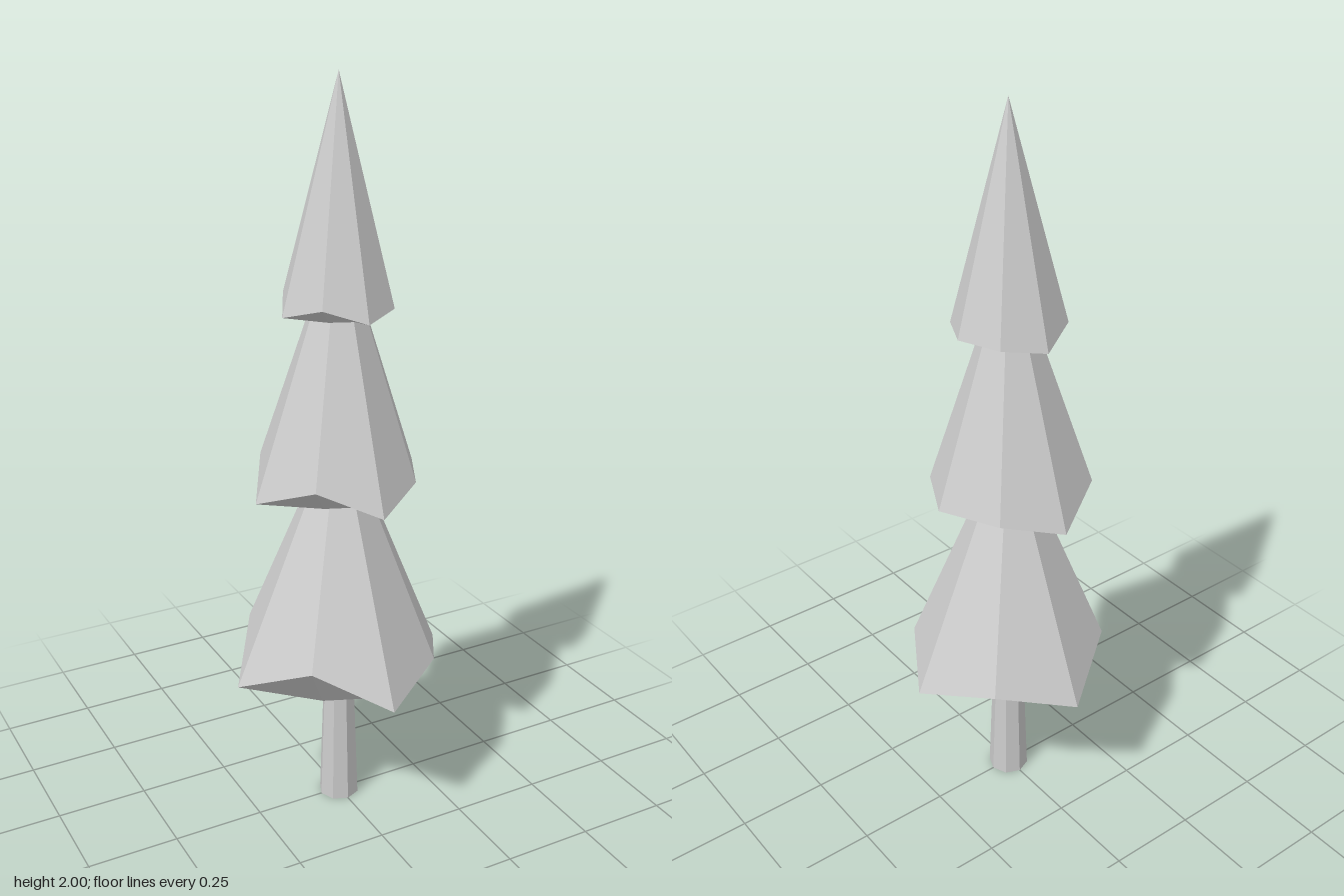
import * as THREE from 'three';

// Rim corners run from +z through +x, -z and -x: [x, y, z]
const TIERS = [
  {
    name: 'lowerBranches', apex: 1.14, base: 0.375, baseRadius: 0.145,
    rim: [[0, 0.42, 0.305], [0.19, 0.47, 0.19], [0.305, 0.42, 0], [0.19, 0.47, -0.19],
      [0, 0.42, -0.305], [-0.18, 0.52, -0.19], [-0.305, 0.42, 0], [-0.18, 0.52, 0.19]],
  },
  {
    name: 'middleBranches', apex: 1.64, base: 0.93, baseRadius: 0.125,
    rim: [[0, 0.94, 0.24], [0.145, 0.98, 0.15], [0.222, 0.98, 0], [0.145, 0.98, -0.155],
      [0, 0.945, -0.24], [-0.15, 1.01, -0.16], [-0.24, 0.94, 0], [-0.15, 1.01, 0.16]],
  },
  {
    name: 'topBranches', apex: 2, base: 1.41, baseRadius: 0.085,
    rim: [[0, 1.42, 0.157], [0.102, 1.435, 0.102], [0.152, 1.44, 0], [0.102, 1.435, -0.102],
      [0, 1.42, -0.157], [-0.102, 1.455, -0.107], [-0.157, 1.42, 0], [-0.102, 1.455, 0.107]],
  },
];

// Faceted cone with an uneven rim and a tucked-in underside
function branchTier({ apex, base, baseRadius, rim }) {
  const n = rim.length;
  const inner = rim.map((_, i) => {
    const a = (i / n) * Math.PI * 2;
    return [Math.sin(a) * baseRadius, base, Math.cos(a) * baseRadius];
  });
  const tip = [0, apex, 0];
  const centre = [0, base, 0];
  const points = [];
  for (let i = 0; i < n; i++) {
    const j = (i + 1) % n;
    points.push(rim[i], rim[j], tip);
    points.push(rim[i], inner[i], inner[j], rim[i], inner[j], rim[j]);
    points.push(inner[i], centre, inner[j]);
  }
  const geometry = new THREE.BufferGeometry();
  geometry.setAttribute('position', new THREE.Float32BufferAttribute(points.flat(), 3));
  geometry.computeVertexNormals();
  return geometry;
}

export function createModel() {
  const tree = new THREE.Group();
  tree.name = 'tree';
  const paleGrey = new THREE.MeshStandardMaterial({ color: 0xcccccc, flatShading: true });
  paleGrey.name = 'paleGrey';

  // Tapered octagonal trunk
  const trunk = new THREE.Mesh(new THREE.CylinderGeometry(0.042, 0.056, 0.4, 8), paleGrey);
  trunk.name = 'trunk';
  trunk.position.y = 0.2;
  tree.add(trunk);

  // Three stacked tiers of branches
  for (const tier of TIERS) {
    const mesh = new THREE.Mesh(branchTier(tier), paleGrey);
    mesh.name = tier.name;
    tree.add(mesh);
  }
  return tree;
}
